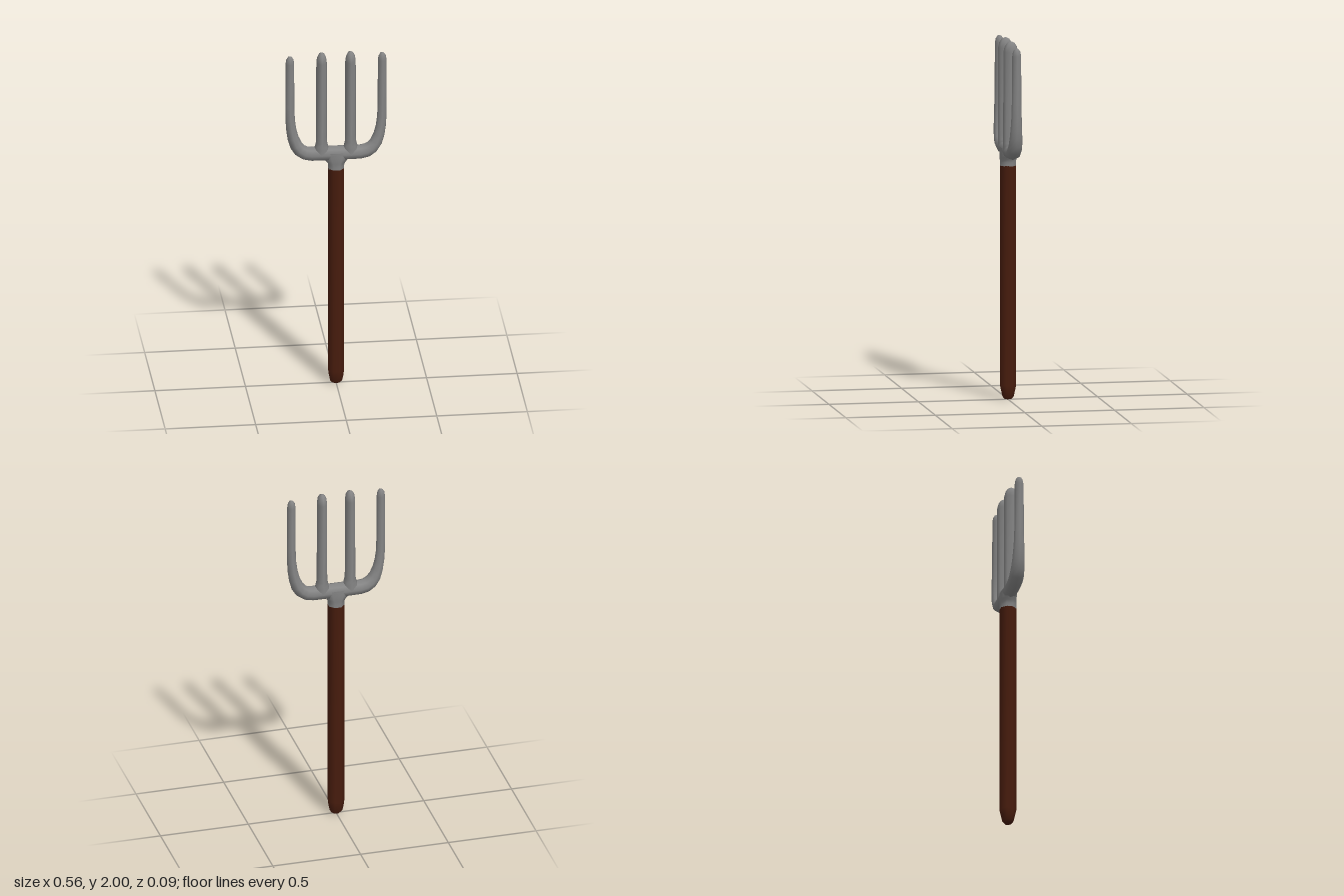
import * as THREE from 'three';

const SIDES = 8;
const metal = new THREE.MeshStandardMaterial({ color: 0x848484 });
const wood = new THREE.MeshStandardMaterial({ color: 0x471c0d });

// Sweeps an elliptical section along a path in the XY plane.
// Each row is [x, y, in-plane radius, depth radius]; phase turns the section's corners.
function sweep(name, rows, material, phase = 0) {
  const positions = [];
  const indices = [];
  rows.forEach(([x, y, rn, rz], i) => {
    const a = rows[Math.max(i - 1, 0)];
    const b = rows[Math.min(i + 1, rows.length - 1)];
    const t = new THREE.Vector2(b[0] - a[0], b[1] - a[1]).normalize();
    for (let j = 0; j < SIDES; j++) {
      const angle = (j / SIDES) * Math.PI * 2 + phase;
      const n = Math.cos(angle) * rn;
      positions.push(x - t.y * n, y + t.x * n, Math.sin(angle) * rz);
      if (i === rows.length - 1) continue;
      const k = (j + 1) % SIDES;
      const p = i * SIDES;
      const q = p + SIDES;
      indices.push(p + j, p + k, q + k, p + j, q + k, q + j);
    }
  });
  const geometry = new THREE.BufferGeometry();
  geometry.setAttribute('position', new THREE.Float32BufferAttribute(positions, 3));
  geometry.setIndex(indices);
  geometry.computeVertexNormals();
  const mesh = new THREE.Mesh(geometry, material);
  mesh.name = name;
  return mesh;
}

export function createModel() {
  const group = new THREE.Group();
  group.name = 'handFork';
  const flatFront = Math.PI / SIDES;

  // Wooden handle with a rounded butt and flats facing front and sides
  group.add(sweep('handle', [
    [0, 0, 0, 0], [0, 0.003, 0.022, 0.02], [0, 0.015, 0.035, 0.031],
    [0, 0.045, 0.042, 0.038], [0, 0.08, 0.046, 0.046], [0, 1.3, 0.046, 0.046],
  ], wood, flatFront));

  // Collar flaring from the handle into the crossbar
  group.add(sweep('collar', [
    [0, 1.298, 0.046, 0.046], [0, 1.32, 0.046, 0.046], [0, 1.337, 0.052, 0.046],
    [0, 1.35, 0.064, 0.046], [0, 1.375, 0.078, 0.046], [0, 1.4, 0.08, 0.045],
  ], metal, flatFront));

  // Crossbar and the two outer tines as one curved bar
  const half = [
    [0, 1.389, 0.042, 0.043], [0.08, 1.389, 0.042, 0.042], [0.135, 1.389, 0.041, 0.042],
    [0.17, 1.396, 0.04, 0.042], [0.199, 1.415, 0.038, 0.041], [0.221, 1.446, 0.035, 0.038],
    [0.237, 1.49, 0.031, 0.035], [0.247, 1.54, 0.028, 0.032], [0.253, 1.6, 0.026, 0.029],
    [0.255, 1.68, 0.025, 0.027], [0.255, 1.94, 0.024, 0.025], [0.255, 1.965, 0.02, 0.021],
    [0.255, 1.98, 0.011, 0.012], [0.255, 1.985, 0, 0],
  ];
  const mirrored = half.slice(1).reverse().map(([x, ...rest]) => [-x, ...rest]);
  group.add(sweep('crossbarAndOuterTines', [...mirrored, ...half], metal));

  // Two straight inner tines with softly flared roots
  for (const side of [-1, 1]) {
    group.add(sweep(side > 0 ? 'leftInnerTine' : 'rightInnerTine', [
      [1.385, 0.046, 0.042], [1.42, 0.043, 0.042], [1.437, 0.036, 0.042], [1.46, 0.031, 0.042],
      [1.5, 0.03, 0.042], [1.94, 0.029, 0.041], [1.97, 0.025, 0.034],
      [1.99, 0.016, 0.021], [2.0, 0, 0],
    ].map(([y, rx, rz]) => [side * 0.08, y, rx, rz]), metal));
  }
  return group;
}
